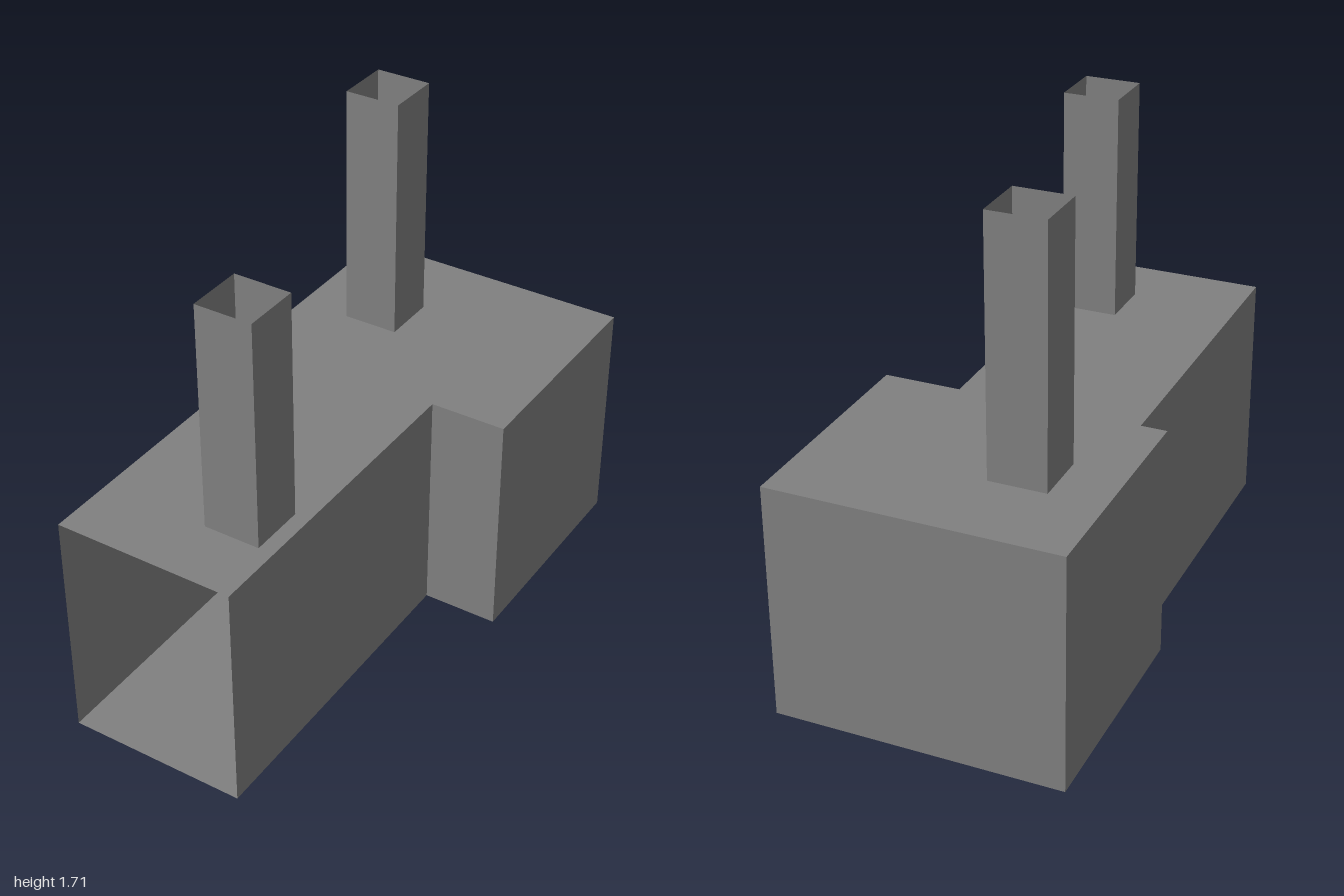
import * as THREE from 'three';

const grey = new THREE.MeshStandardMaterial({ color: 0x808080, side: THREE.DoubleSide });
grey.name = 'plain grey';

const HEIGHT = 0.83;
const STEP_Z = -0.18;

// Plan outline as [x, z], from the open front edge around the back
const plan = [[0.23, 1], [0.23, STEP_Z], [0.5, STEP_Z], [0.5, -1],
  [-0.5, -1], [-0.5, STEP_Z], [-0.41, STEP_Z], [-0.41, 1]];

function addMesh(parent, name, geometry) {
  const mesh = new THREE.Mesh(geometry, grey);
  mesh.name = name;
  parent.add(mesh);
  return mesh;
}

// Upright sheets joining consecutive plan points; outward normals
function wallSheets(points, y0, y1) {
  const pos = [];
  for (let i = 0; i < points.length - 1; i++) {
    const [ax, az] = points[i], [bx, bz] = points[i + 1];
    pos.push(ax, y0, az, bx, y0, bz, bx, y1, bz, ax, y0, az, bx, y1, bz, ax, y1, az);
  }
  const geometry = new THREE.BufferGeometry();
  geometry.setAttribute('position', new THREE.Float32BufferAttribute(pos, 3));
  geometry.computeVertexNormals();
  return geometry;
}

// Open square tube
function addChimney(parent, name, x0, x1, z0, z1, y0, y1) {
  const corners = [[x1, z1], [x1, z0], [x0, z0], [x0, z1], [x1, z1]];
  addMesh(parent, name, wallSheets(corners, y0, y1));
}

export function createModel() {
  const model = new THREE.Group();
  model.name = 'building';

  // Outer walls, open at the front
  addMesh(model, 'outerWalls', wallSheets(plan, 0, HEIGHT));

  // Floor and flat roof share the plan
  const slab = new THREE.Shape(plan.map(([x, z]) => new THREE.Vector2(x, -z)));
  addMesh(model, 'roof', new THREE.ShapeGeometry(slab).rotateX(-Math.PI / 2)).position.y = HEIGHT;
  const under = new THREE.Shape(plan.map(([x, z]) => new THREE.Vector2(x, z)));
  addMesh(model, 'floor', new THREE.ShapeGeometry(under).rotateX(Math.PI / 2));

  // Partition between the two rooms, with a doorway
  const partition = new THREE.Shape([[-0.41, 0], [-0.11, 0], [-0.11, 0.35], [0.1, 0.35],
    [0.1, 0], [0.23, 0], [0.23, HEIGHT], [-0.41, HEIGHT]].map(([x, y]) => new THREE.Vector2(x, y)));
  addMesh(model, 'partition', new THREE.ShapeGeometry(partition)).position.z = STEP_Z;

  // Hollow chimneys
  addChimney(model, 'frontChimney', -0.025, 0.175, 0.565, 0.765, 0.81, 1.63);
  addChimney(model, 'rearChimney', -0.31, -0.11, -0.695, -0.495, HEIGHT, 1.71);

  return model;
}
